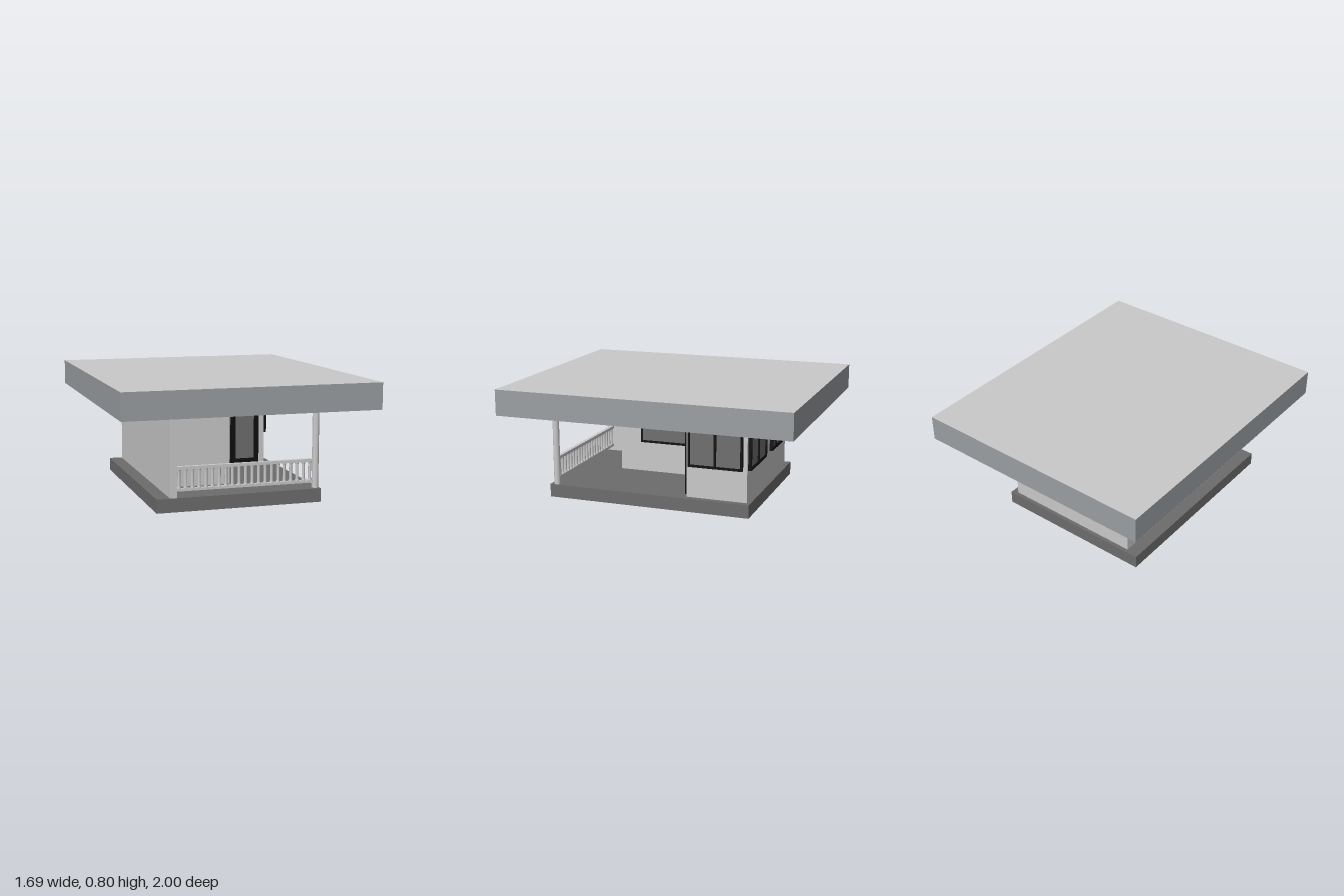
import * as THREE from 'three';

const mat = (name, color) => {
  const m = new THREE.MeshStandardMaterial({ color });
  m.name = name;
  return m;
};

export function createModel() {
  const house = new THREE.Group();
  house.name = 'house';
  const plaster = mat('light plaster', 0xc9c9c9);
  const fascia = mat('blue grey fascia', 0x9a9fa2);
  const stone = mat('dark grey base', 0x6c6c6c);
  const black = mat('black frame', 0x0d0d0d);
  const glass = mat('grey glass', 0x6e6e6e);

  // Box given by its minimum and maximum corners
  const box = (parent, name, material, [x0, y0, z0], [x1, y1, z1]) => {
    const mesh = new THREE.Mesh(new THREE.BoxGeometry(x1 - x0, y1 - y0, z1 - z0), material);
    mesh.position.set((x0 + x1) / 2, (y0 + y1) / 2, (z0 + z1) / 2);
    mesh.name = name;
    parent.add(mesh);
    return mesh;
  };

  // Base slab and flat roof
  box(house, 'baseSlab', stone, [-0.578, 0, -0.64], [0.528, 0.09, 0.78]);
  box(house, 'roof', [fascia, fascia, plaster, plaster, fascia, fascia],
    [-0.845, 0.625, -1], [0.845, 0.8, 1]);

  // Stepped wall footprint, with a wing wall on the porch side
  const plan = [[-0.49, 0.778], [-0.445, 0.778], [-0.445, 0.47], [0, 0.47],
    [0, -0.2], [0.485, -0.2], [0.485, -0.615], [-0.49, -0.615]];
  const footprint = new THREE.Shape(plan.map(([x, z]) => new THREE.Vector2(x, -z)));
  const wallGeo = new THREE.ExtrudeGeometry(footprint, { depth: 0.535, bevelEnabled: false });
  wallGeo.rotateX(-Math.PI / 2);
  const walls = new THREE.Mesh(wallGeo, plaster);
  walls.name = 'walls';
  walls.position.y = 0.09;
  house.add(walls);

  // Framed opening: centred on x, standing on y = 0, facing +z
  function framed(name, w, h, { cols = 1, rows = 1, frame = 0.015, bar = 0.015, depth = 0.022 }) {
    const g = new THREE.Group();
    g.name = name;
    const outline = new THREE.Shape([[-w / 2, 0], [w / 2, 0], [w / 2, h], [-w / 2, h]]
      .map(p => new THREE.Vector2(...p)));
    const cw = (w - 2 * frame - (cols - 1) * bar) / cols;
    const ch = (h - 2 * frame - (rows - 1) * bar) / rows;
    for (let c = 0; c < cols; c++) {
      for (let r = 0; r < rows; r++) {
        const x = -w / 2 + frame + c * (cw + bar), y = frame + r * (ch + bar);
        outline.holes.push(new THREE.Path([[x, y], [x, y + ch], [x + cw, y + ch], [x + cw, y]]
          .map(p => new THREE.Vector2(...p))));
      }
    }
    const frameMesh = new THREE.Mesh(
      new THREE.ExtrudeGeometry(outline, { depth, bevelEnabled: false }), black);
    frameMesh.name = name + 'Frame';
    g.add(frameMesh);
    box(g, name + 'Glass', glass, [-w / 2 + 0.005, 0.005, 0.002], [w / 2 - 0.005, h - 0.005, depth * 0.5]);
    house.add(g);
    return g;
  }
  const place = (g, x, y, z, turn = 0) => {
    g.position.set(x, y, z);
    g.rotation.y = turn;
  };

  // Sliding door, side windows and rear windows
  place(framed('slidingDoor', 0.39, 0.495, { cols: 2, frame: 0.032, bar: 0.036, depth: 0.028 }),
    0.24, 0.09, -0.2);
  place(framed('porchWindow', 0.365, 0.28, { depth: 0.013 }), 0, 0.303, 0.132, Math.PI / 2);
  place(framed('sideWindow', 0.375, 0.28, { cols: 2 }), 0.485, 0.303, -0.4, Math.PI / 2);
  place(framed('rearWindow', 0.385, 0.28, { cols: 2 }), 0.273, 0.303, -0.615, Math.PI);
  place(framed('rearGridWindow', 0.39, 0.28, { cols: 4, rows: 4 }), -0.258, 0.303, -0.615, Math.PI);

  // Round porch post
  const post = new THREE.Mesh(new THREE.CylinderGeometry(0.022, 0.022, 0.535, 32), plaster);
  post.name = 'porchPost';
  post.position.set(0.503, 0.3575, 0.738);
  house.add(post);

  // Railing with turned balusters
  const railing = new THREE.Group();
  railing.name = 'railing';
  house.add(railing);
  box(railing, 'topRail', plaster, [-0.445, 0.264, 0.725], [0.487, 0.283, 0.751]);
  box(railing, 'bottomRail', plaster, [-0.445, 0.125, 0.725], [0.487, 0.142, 0.751]);
  const profile = [[0.013, 0], [0.013, 0.008], [0.01, 0.014], [0.01, 0.11], [0.013, 0.116], [0.013, 0.124]]
    .map(p => new THREE.Vector2(...p));
  const balusterGeo = new THREE.LatheGeometry(profile, 16);
  const count = 21;
  for (let i = 0; i < count; i++) {
    const baluster = new THREE.Mesh(balusterGeo, plaster);
    baluster.name = 'baluster';
    baluster.position.set(-0.422 + i * 0.886 / (count - 1), 0.141, 0.738);
    railing.add(baluster);
  }
  return house;
}
